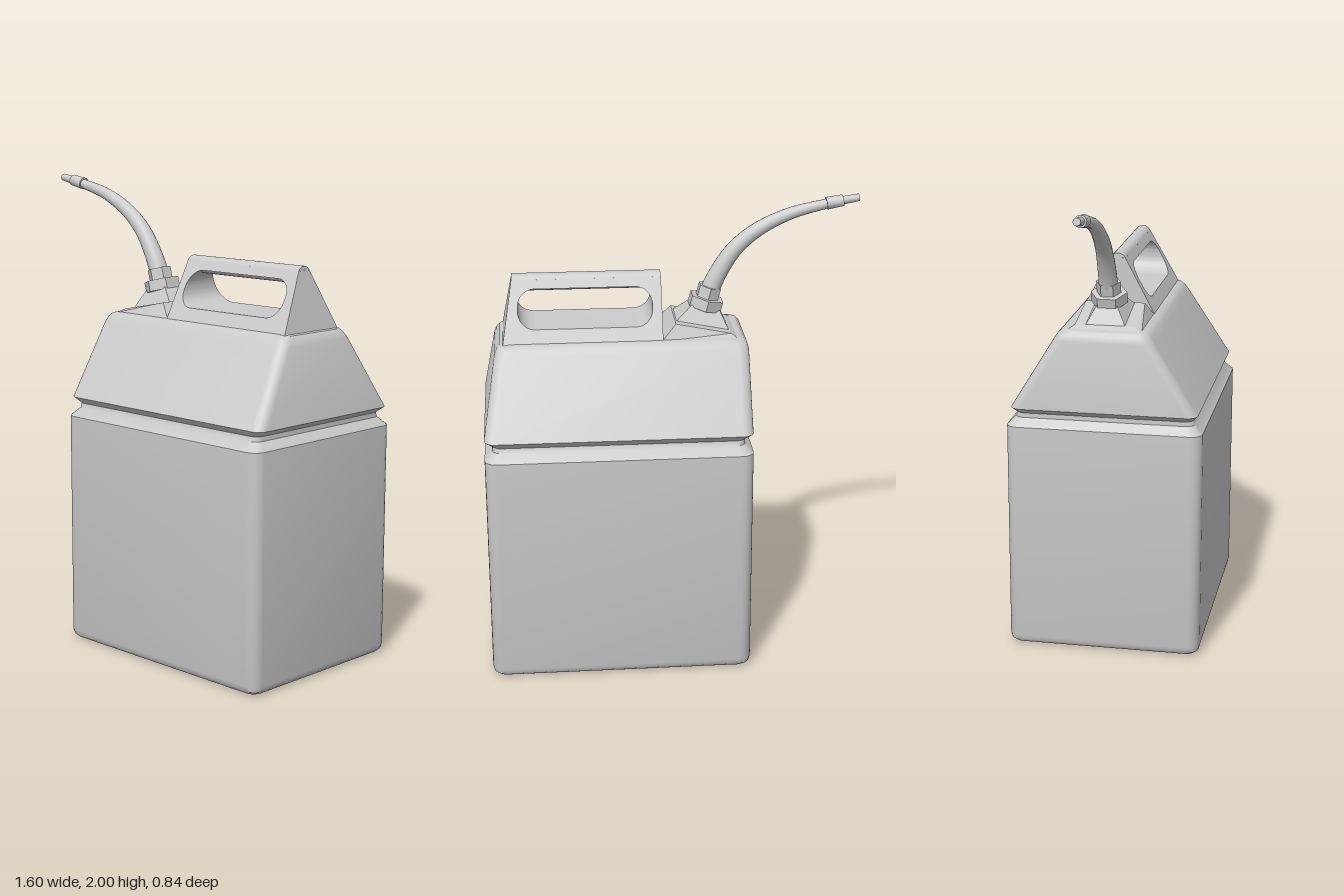
import * as THREE from 'three';
import { toCreasedNormals } from 'three/addons/utils/BufferGeometryUtils.js';

const material = new THREE.MeshStandardMaterial({ color: 0xcccccc });
const V = (x, y, z) => new THREE.Vector3(x, y, z);

function part(name, geometry, crease = 0.6) {
  const mesh = new THREE.Mesh(toCreasedNormals(geometry, crease), material);
  mesh.name = name;
  return mesh;
}

// Rounded rectangle outline at height y
function roundedRing(y, x0, x1, halfZ, r, steps = 5) {
  const ring = [];
  const corners = [[x1 - r, halfZ - r], [x0 + r, halfZ - r], [x0 + r, r - halfZ], [x1 - r, r - halfZ]];
  corners.forEach(([cx, cz], q) => {
    for (let i = 0; i <= steps; i++) {
      const a = (q + i / steps) * Math.PI / 2;
      ring.push(V(cx + r * Math.cos(a), y, cz + r * Math.sin(a)));
    }
  });
  return ring;
}

// Four-cornered ring with its own height at each end in x
const tiltedRing = (x0, y0, x1, y1, halfZ) =>
  [V(x1, y1, halfZ), V(x0, y0, halfZ), V(x0, y0, -halfZ), V(x1, y1, -halfZ)];

// Closed skin through rings ordered from bottom to top
function loft(rings) {
  const pts = [];
  const n = rings[0].length;
  const centre = ring => ring.reduce((s, p) => s.add(p), V(0, 0, 0)).divideScalar(n);
  const bottom = centre(rings[0]);
  const last = rings[rings.length - 1];
  const top = centre(last);
  for (let j = 0; j < n; j++) {
    const k = (j + 1) % n;
    pts.push(bottom, rings[0][j], rings[0][k], top, last[k], last[j]);
    for (let i = 0; i < rings.length - 1; i++) {
      const a = rings[i], b = rings[i + 1];
      pts.push(a[j], b[j], a[k], a[k], b[j], b[k]);
    }
  }
  return new THREE.BufferGeometry().setFromPoints(pts);
}

// Cylinder between two points
function rod(a, b, rA, rB, sides) {
  const dir = b.clone().sub(a);
  const g = new THREE.CylinderGeometry(rB, rA, dir.length(), sides);
  g.applyQuaternion(new THREE.Quaternion().setFromUnitVectors(V(0, 1, 0), dir.normalize()));
  const m = a.clone().add(b).multiplyScalar(0.5);
  return g.translate(m.x, m.y, m.z);
}

function buildBody() {
  // y, x min, x max, half depth, corner radius
  const levels = [
    [0, -0.28, 0.76, 0.38, 0.03],
    [0.005, -0.3, 0.78, 0.4, 0.04],
    [0.018, -0.314, 0.794, 0.414, 0.045],
    [0.04, -0.32, 0.8, 0.42, 0.05],
    [1.0, -0.32, 0.8, 0.42, 0.05],
    [1.035, -0.287, 0.767, 0.385, 0.04],
    [1.055, -0.287, 0.767, 0.38, 0.04],
    [1.08, -0.32, 0.8, 0.4, 0.045],
    [1.385, -0.32, 0.748, 0.213, 0.045],
    [1.41, -0.314, 0.738, 0.197, 0.045],
    [1.425, -0.3, 0.725, 0.182, 0.04],
    [1.43, -0.275, 0.7, 0.16, 0.03],
  ];
  return part('body', loft(levels.map(l => roundedRing(...l))));
}

function buildHandle() {
  const handle = new THREE.Group();
  handle.name = 'handle';
  const shape = new THREE.Shape();
  shape.moveTo(0.04, 1.42);
  shape.lineTo(0.712, 1.42);
  shape.lineTo(0.668, 1.67);
  shape.lineTo(0.04, 1.67);
  shape.closePath();

  // Grip opening with round corners
  const [x0, x1, y0, y1, r] = [0.08, 0.645, 1.483, 1.635, 0.07];
  const hole = new THREE.Path();
  hole.absarc(x0 + r, y0 + r, r, 1.5 * Math.PI, Math.PI, true);
  hole.absarc(x0 + r, y1 - r, r, Math.PI, Math.PI / 2, true);
  hole.absarc(x1 - r, y1 - r, r, Math.PI / 2, 0, true);
  hole.absarc(x1 - r, y0 + r, r, 0, -Math.PI / 2, true);
  hole.closePath();
  shape.holes.push(hole);

  // Narrow the sides towards the ridge
  const g = new THREE.ExtrudeGeometry(shape, { depth: 2, bevelEnabled: false, curveSegments: 8 });
  g.translate(0, 0, -1);
  const p = g.attributes.position;
  for (let i = 0; i < p.count; i++) p.setZ(i, p.getZ(i) * (0.16 - 0.53 * (p.getY(i) - 1.43)));
  handle.add(part('grip', g));
  handle.add(part('gripRidge', rod(V(0.041, 1.653, 0), V(0.667, 1.653, 0), 0.037, 0.037, 24)));
  return handle;
}

function buildSpout() {
  const spout = new THREE.Group();
  spout.name = 'spout';

  // Faceted mount with a tilted top
  spout.add(part('spoutBase', loft([
    tiltedRing(-0.28, 1.425, 0.045, 1.425, 0.16),
    tiltedRing(-0.25, 1.442, -0.015, 1.49, 0.128),
  ]), 0.1));
  spout.add(part('spoutNeck', loft([
    tiltedRing(-0.245, 1.44, -0.02, 1.487, 0.085),
    tiltedRing(-0.21, 1.515, -0.09, 1.545, 0.045),
  ]), 0.1));

  // Hexagonal nut and collar along the tilted axis
  const base = V(-0.153, 1.545, 0);
  const axis = V(-0.26, 0.96, 0).normalize();
  const along = d => base.clone().addScaledVector(axis, d);
  spout.add(part('nut', rod(along(-0.025), along(0.022), 0.078, 0.078, 6), 0.1));
  spout.add(part('collar', rod(along(0.02), along(0.072), 0.052, 0.052, 6), 0.1));

  // Curved tube tapering towards the tip
  const curve = new THREE.CatmullRomCurve3([
    along(0.03), V(-0.205, 1.67, 0), V(-0.275, 1.775, 0), V(-0.37, 1.855, 0),
    V(-0.51, 1.922, 0), V(-0.68, 1.964, 0),
  ]);
  const rings = 40, sides = 16;
  const g = new THREE.TubeGeometry(curve, rings, 1, sides);
  const p = g.attributes.position, v = V(0, 0, 0);
  for (let i = 0; i < p.count; i++) {
    const t = Math.floor(i / (sides + 1)) / rings;
    const c = curve.getPointAt(t);
    v.fromBufferAttribute(p, i).sub(c).multiplyScalar(0.042 - 0.022 * t).add(c);
    p.setXYZ(i, v.x, v.y, v.z);
  }
  spout.add(part('tube', g));
  spout.add(part('tipSleeve', rod(V(-0.66, 1.961, 0), V(-0.73, 1.973, 0), 0.027, 0.025, 12)));
  spout.add(part('tip', rod(V(-0.725, 1.972, 0), V(-0.798, 1.984, 0), 0.018, 0.016, 12)));
  return spout;
}

export function createModel() {
  const model = new THREE.Group();
  model.name = 'fuelCan';
  model.add(buildBody(), buildHandle(), buildSpout());
  return model;
}
